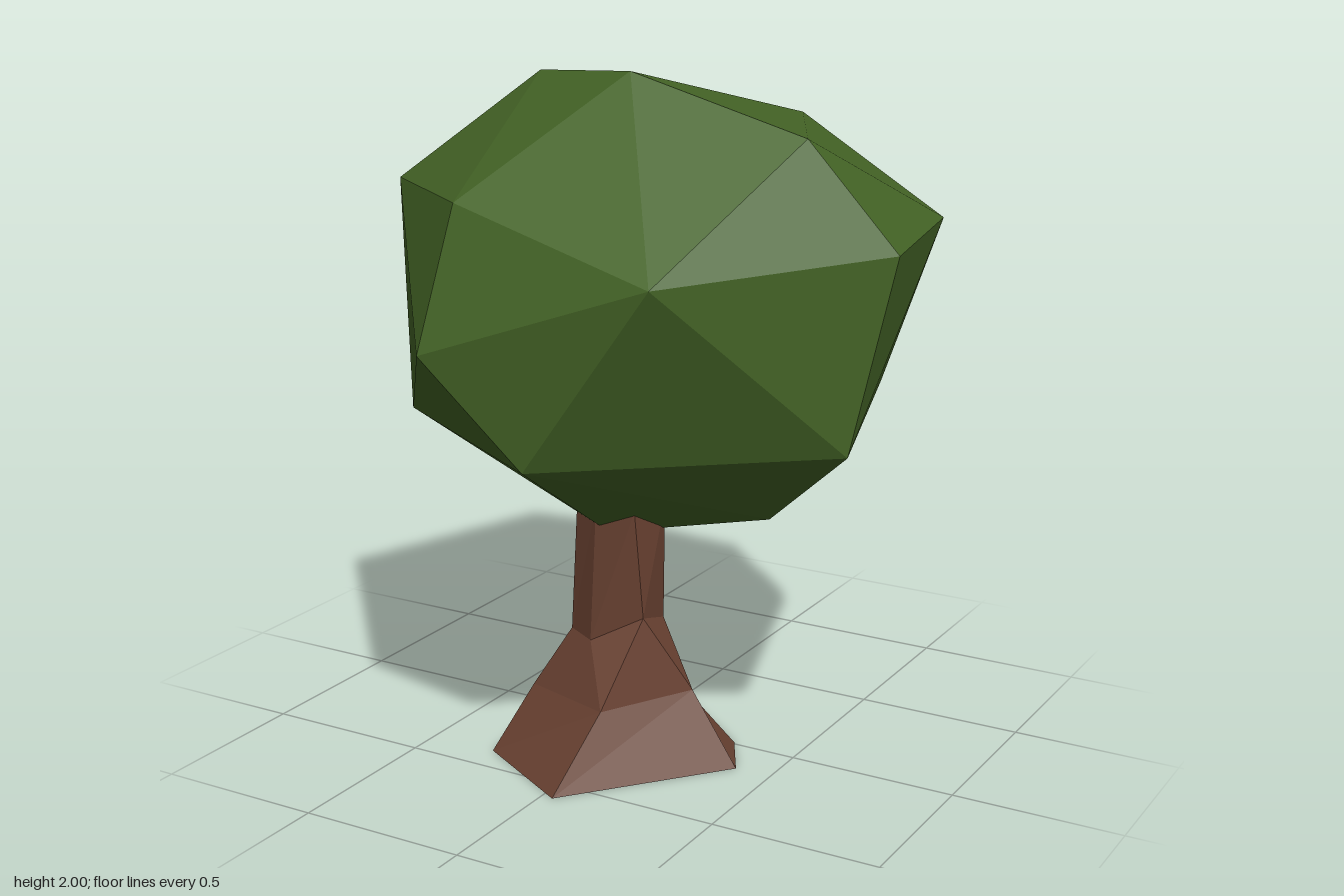
import * as THREE from 'three';
import { ConvexGeometry } from 'three/addons/geometries/ConvexGeometry.js';

// Faceted skin through stacked rings [x, y, z], closed at both ends
function loft(rings) {
  const out = [];
  const tri = (a, b, c) => out.push(...a, ...b, ...c);
  const n = rings[0].length;
  for (let r = 0; r < rings.length - 1; r++) {
    const lo = rings[r], hi = rings[r + 1];
    for (let i = 0; i < n; i++) {
      const j = (i + 1) % n;
      tri(lo[i], lo[j], hi[j]);
      tri(lo[i], hi[j], hi[i]);
    }
  }
  const base = rings[0], top = rings[rings.length - 1];
  for (let i = 1; i < n - 1; i++) {
    tri(base[0], base[i + 1], base[i]);
    tri(top[0], top[i], top[i + 1]);
  }
  const geo = new THREE.BufferGeometry();
  geo.setAttribute('position', new THREE.Float32BufferAttribute(out, 3));
  geo.computeVertexNormals();
  return geo;
}

export function createModel() {
  const leafGreen = new THREE.MeshStandardMaterial({ color: 0x446426, flatShading: true });
  leafGreen.name = 'leafGreen';
  const barkBrown = new THREE.MeshStandardMaterial({ color: 0x6a4232, flatShading: true });
  barkBrown.name = 'barkBrown';

  // Crown: irregular faceted ball
  const crownPoints = [
    // top
    [0.08, 2.0, 0.22], [-0.35, 1.96, 0], [0.6, 1.85, 0.19], [0.21, 1.81, -0.58],
    // upper belt
    [-0.21, 1.68, 0.65], [-0.7, 1.65, 0.22], [-0.42, 1.67, -0.58],
    [0.78, 1.58, -0.32], [0.84, 1.55, 0.12], [0.42, 1.52, 0.71],
    // middle belt
    [0.29, 1.39, -0.79], [-0.46, 1.31, -0.65], [-0.24, 1.29, 0.79], [-0.84, 1.27, 0],
    // lower belt
    [0.49, 1.01, -0.58], [0.75, 1.01, 0.22], [0.04, 0.99, 0.72], [-0.67, 0.96, 0.23],
    // underside
    [-0.15, 0.86, -0.58], [-0.54, 0.83, -0.19], [0.41, 0.72, 0], [0, 0.675, 0.21],
  ].map((p) => new THREE.Vector3(...p));
  const crown = new THREE.Mesh(new ConvexGeometry(crownPoints), leafGreen);
  crown.name = 'crown';

  // Trunk: six-sided, flaring into the roots
  const trunk = new THREE.Mesh(loft([
    [[-0.29, 0, 0.4], [0.035, 0, 0.585], [0.39, 0, 0.15], [0.3, 0, -0.01], [0.035, 0, -0.21], [-0.29, 0, -0.03]],
    [[-0.2, 0.2, 0.31], [0.08, 0.2, 0.395], [0.25, 0.22, 0.16], [0.16, 0.18, 0.06], [0.03, 0.22, 0], [-0.2, 0.2, 0.06]],
    [[-0.11, 0.37, 0.24], [-0.01, 0.37, 0.3], [0.14, 0.45, 0.255], [0.13, 0.41, 0.12], [0.03, 0.4, 0.08], [-0.11, 0.4, 0.14]],
    [[-0.1, 0.77, 0.22], [-0.01, 0.77, 0.265], [0.12, 0.77, 0.27], [0.14, 0.77, 0.13], [0.03, 0.77, 0.085], [-0.1, 0.77, 0.13]],
  ]), barkBrown);
  trunk.name = 'trunk';

  const tree = new THREE.Group();
  tree.name = 'tree';
  tree.add(trunk, crown);
  return tree;
}
